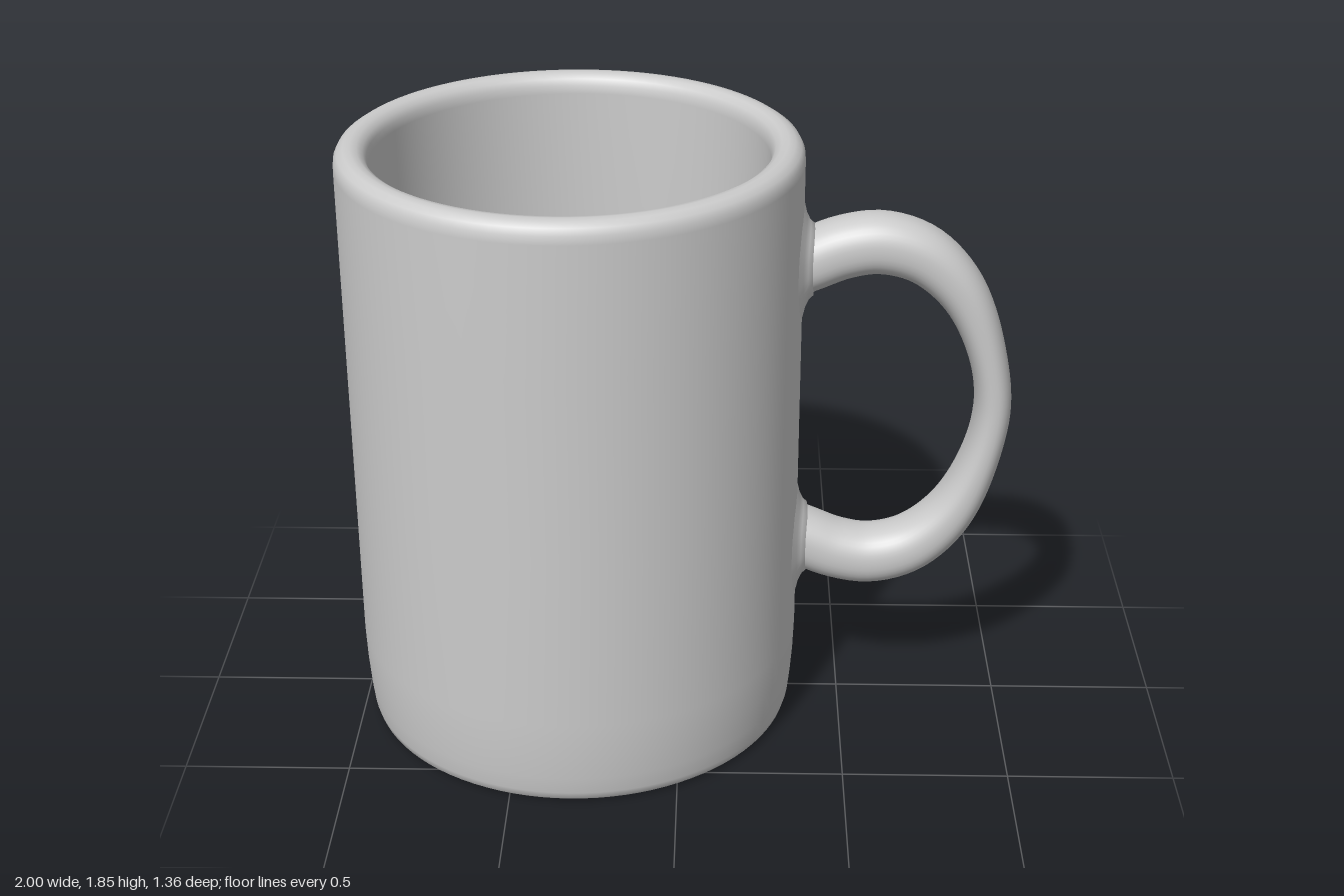
import * as THREE from 'three';

const CX = -0.32, R = 0.68, MID = 1.015;
const material = new THREE.MeshStandardMaterial({ color: 0xcccccc, side: THREE.DoubleSide });

// Smooth surface through a grid of closed rings
function loft(rings) {
  const n = rings[0].length, index = [];
  for (let i = 0; i < rings.length - 1; i++) {
    for (let j = 0; j < n; j++) {
      const a = i * n + j, b = i * n + (j + 1) % n;
      index.push(a, b, a + n, b, b + n, a + n);
    }
  }
  const geo = new THREE.BufferGeometry().setFromPoints(rings.flat());
  geo.setIndex(index);
  geo.computeVertexNormals();
  return geo;
}

function part(name, geometry) {
  const mesh = new THREE.Mesh(geometry, material);
  mesh.name = name;
  return mesh;
}

// Rounded oval outline, slightly squarer than an ellipse
function oval(t) {
  const p = 0.88, c = Math.cos(t), s = Math.sin(t);
  return [Math.sign(c) * Math.abs(c) ** p, Math.sign(s) * Math.abs(s) ** p];
}

// Hollow body: underside, outer wall, rounded rim, inner wall and floor
function bodyGeometry() {
  const profile = [
    [0, 0.03], [0.36, 0.03], [0.56, 0.028], [0.595, 0.02], [0.612, 0.006], [0.63, 0],
    [0.645, 0.002], [0.657, 0.012], [0.664, 0.035], [0.67, 0.09], [0.676, 0.17], [R, 0.28],
    [R, 0.8], [R, 1.4], [R, 1.79], [0.678, 1.815], [0.668, 1.834], [0.65, 1.846], [0.63, 1.85],
    [0.61, 1.846], [0.593, 1.834], [0.584, 1.815], [0.581, 1.79],
    [0.58, 1.4], [0.58, 0.8], [0.578, 0.28], [0.572, 0.19], [0.555, 0.14],
    [0.525, 0.112], [0.48, 0.103], [0.36, 0.1], [0, 0.1],
  ];
  return new THREE.LatheGeometry(profile.map(([r, y]) => new THREE.Vector2(r, y)), 96);
}

// Handle: oval section swept along a D-shaped curve, thinner at the outside
function handleGeometry() {
  const half = [[0.30, 0.432], [0.38, 0.465], [0.48, 0.505], [0.59, 0.52], [0.71, 0.485],
    [0.82, 0.385], [0.9, 0.225]];
  const points = [
    ...half.map(([x, y]) => new THREE.Vector3(x, MID + y, 0)),
    new THREE.Vector3(0.943, MID, 0),
    ...half.map(([x, y]) => new THREE.Vector3(x, MID - y, 0)).reverse(),
  ];
  const curve = new THREE.CatmullRomCurve3(points, false, 'centripetal');
  const rings = [];
  for (let i = 0; i <= 80; i++) {
    const u = i / 80, p = curve.getPointAt(u), d = curve.getTangentAt(u);
    const end = THREE.MathUtils.smoothstep(Math.abs(u - 0.5) * 2, 0.08, 0.72);
    const thick = 0.055 + 0.036 * end;
    const ring = [];
    for (let j = 0; j < 40; j++) {
      const [c, s] = oval(j / 40 * Math.PI * 2);
      ring.push(new THREE.Vector3(p.x - d.y * c * thick, p.y + d.x * c * thick, s * 0.096));
    }
    rings.push(ring);
  }
  return loft(rings);
}

// Flared collar blending the wall into one end of the handle
function collarGeometry(y) {
  // Each station: height above the wall, half height, half width
  const stations = [[-0.008, 0.2, 0.17], [0.002, 0.17, 0.145], [0.009, 0.14, 0.122],
    [0.02, 0.117, 0.105], [0.032, 0.106, 0.097], [0.034, 0.085, 0.08]];
  return loft(stations.map(([lift, h, w]) => {
    const ring = [];
    for (let j = 0; j < 40; j++) {
      const [c, s] = oval(j / 40 * Math.PI * 2), z = s * w;
      ring.push(new THREE.Vector3(CX + Math.sqrt(R * R - z * z) + lift, y + c * h, z));
    }
    return ring;
  }));
}

export function createModel() {
  const group = new THREE.Group();
  group.name = 'mug';
  const body = part('body', bodyGeometry());
  body.position.x = CX;
  group.add(body, part('handle', handleGeometry()));
  for (const side of [1, -1]) {
    group.add(part(side > 0 ? 'upperCollar' : 'lowerCollar', collarGeometry(MID + side * 0.465)));
  }
  return group;
}
